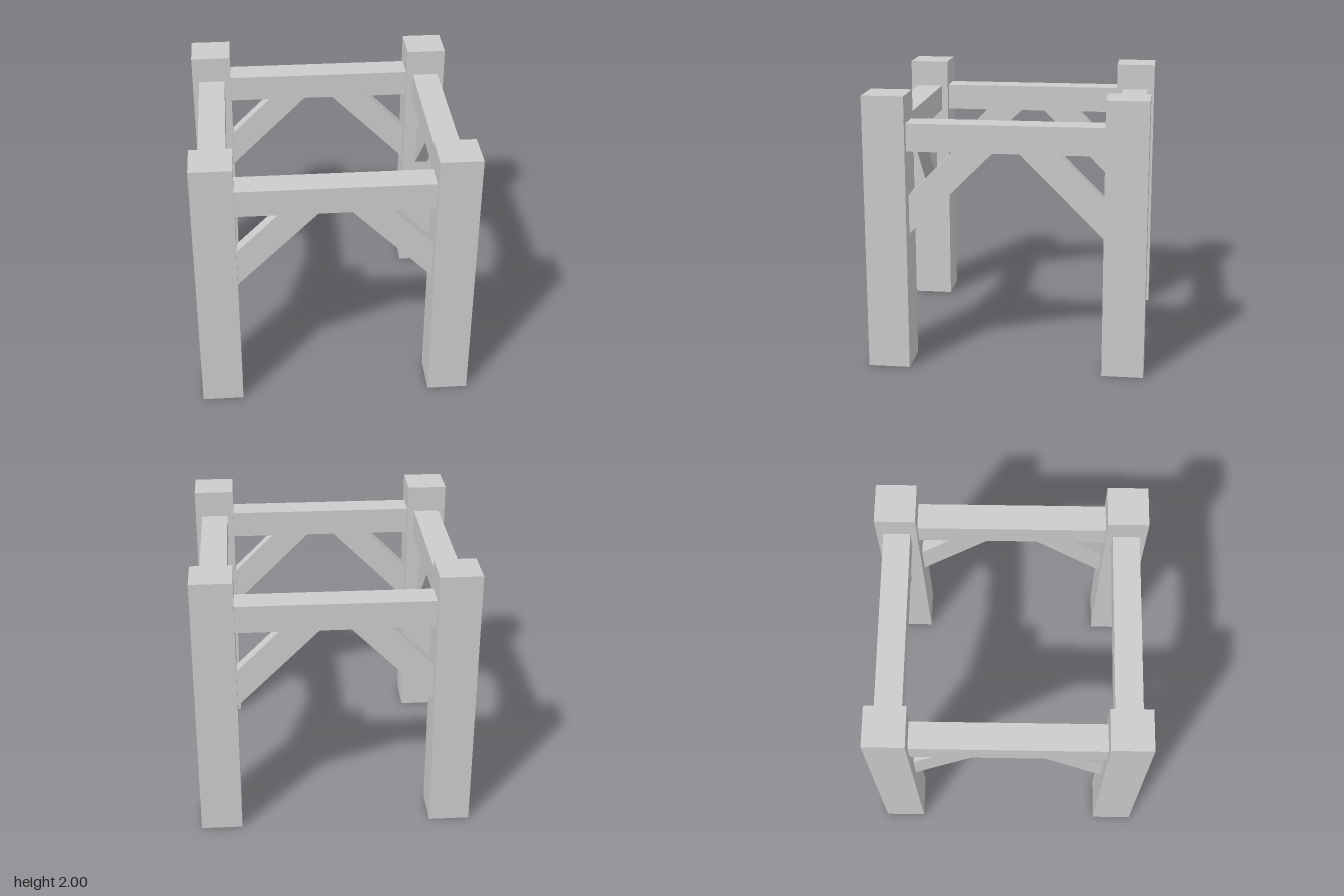
import * as THREE from 'three';

const POST = 0.3, BEAM = 0.2, BRACE = 0.1;
const AXIS = 1 - POST / 2;   // centre line of posts, beams and braces
const INNER = 1 - POST;      // inner face of the posts
const BEAM_BOTTOM = 1.6;

// 45 degree brace, cut flush with the post and the underside of the beam
function braceGeometry(side) {
  const points = [[0.7, 0.987], [0.7, 1.27], [0.37, BEAM_BOTTOM], [0.087, BEAM_BOTTOM]];
  const shape = new THREE.Shape(points.map(([x, y]) => new THREE.Vector2(side * x, y)));
  return new THREE.ExtrudeGeometry(shape, { depth: BRACE, bevelEnabled: false })
    .translate(0, 0, AXIS - BRACE / 2);
}

export function createModel() {
  const model = new THREE.Group();
  model.name = 'timberFrame';
  const material = new THREE.MeshStandardMaterial({ color: 0xcccccc, flatShading: true });

  const add = (parent, name, geometry) => {
    const mesh = new THREE.Mesh(geometry, material);
    mesh.name = name;
    parent.add(mesh);
  };

  // Four identical sides: one corner post, one beam and two braces each
  ['front', 'left', 'back', 'right'].forEach((sideName, i) => {
    const side = new THREE.Group();
    side.name = sideName + 'Side';
    side.rotation.y = i * Math.PI / 2;

    add(side, 'post', new THREE.BoxGeometry(POST, 2, POST).translate(AXIS, 1, AXIS));
    add(side, 'beam', new THREE.BoxGeometry(2 * INNER, BEAM, BEAM)
      .translate(0, BEAM_BOTTOM + BEAM / 2, AXIS));
    for (const s of [-1, 1]) add(side, s > 0 ? 'leftBrace' : 'rightBrace', braceGeometry(s));

    model.add(side);
  });
  return model;
}
